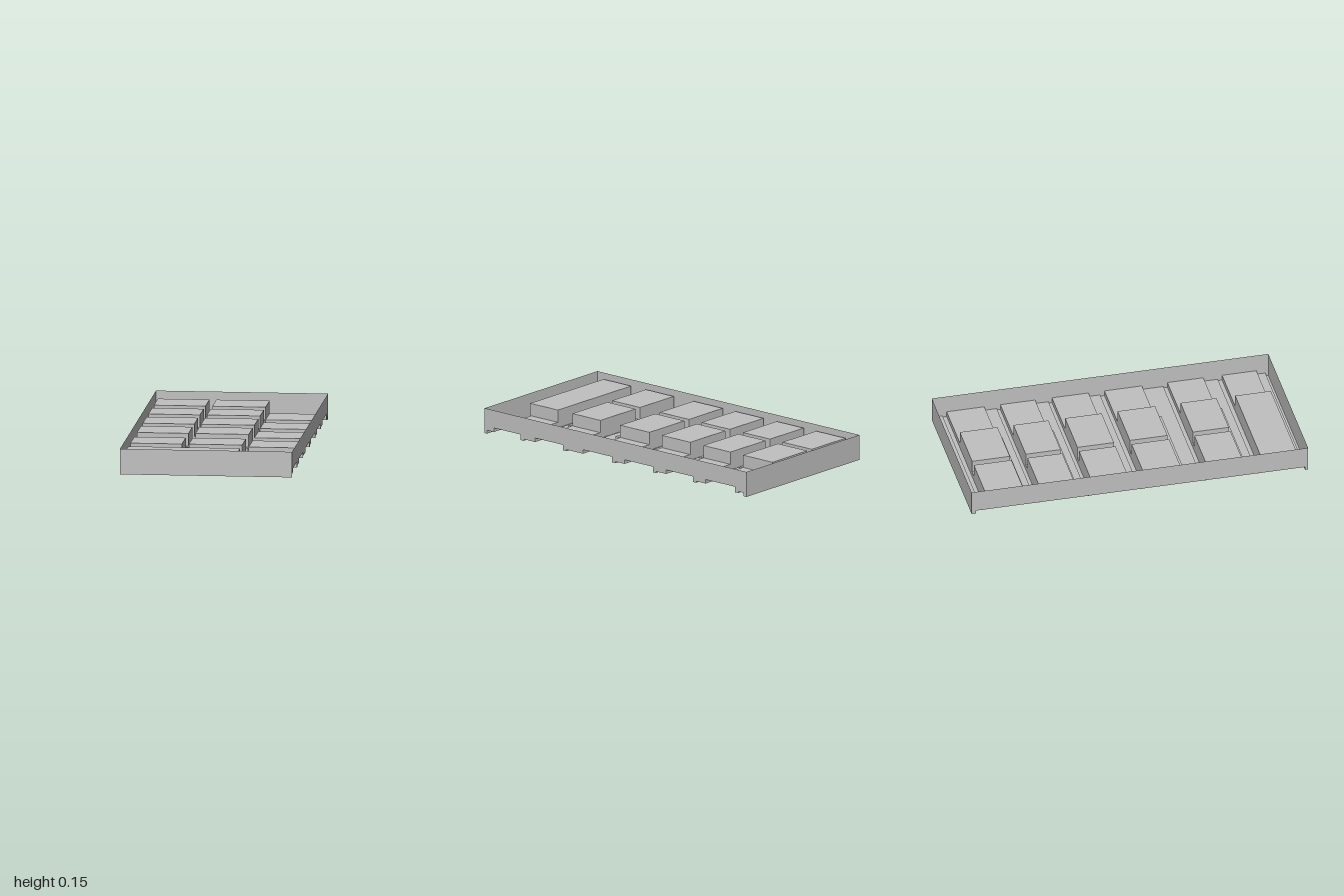
import * as THREE from 'three';

// Pressed thin-sheet tray: every region is a flat level joined by vertical steps.
const RIM = 0.15, FLOOR = 0.02, GROOVE = 0.011, STEP = 0.044, TOP = 0.118;

// Per row: groove start, groove end, channel end, base end
const ROWS = [
  [-0.937, -0.912, -0.688, -0.66],
  [-0.614, -0.593, -0.386, -0.355],
  [-0.307, -0.286, -0.069, -0.069],
  [0, 0.026, 0.249, 0.286],
  [0.376, 0.4, 0.614, 0.646],
  [0.7, 0.725, 0.929, 0.937],
];

// Regions as { part, level, x0, x1, z0, z1 }; later ones override earlier ones
function makeRegions() {
  const regions = [];
  const add = (part, y, x0, x1, z0, z1) => regions.push({ part, y, x0, x1, z0, z1 });
  add('floor', FLOOR, -0.5, 0.5, -1, 1);
  add('backLip', 0, -0.5, 0.5, -1, -0.975);
  add('frontLip', 0, -0.5, 0.5, 0.982, 1);
  ROWS.forEach(([g0, g1, c1, b1], i) => {
    add('groove', GROOVE, -0.488, 0.5, g0, g1);
    add('sideChannel', STEP, 0.17, 0.5, g1, c1);
    add('blockBase', STEP, -0.48, 0.17, g1, b1);
    if (i === ROWS.length - 1) {
      add('wideBlock', TOP, -0.48, 0.17, g1, b1);
    } else {
      add('outerBlock', TOP, -0.48, -0.18, g1, c1);
      add('innerBlock', TOP, -0.14, 0.17, g1, c1);
    }
  });
  return regions;
}

const sortedCuts = (values) => [...new Set(values)].sort((a, b) => a - b);

export function createModel() {
  const group = new THREE.Group();
  group.name = 'tray';
  const grey = new THREE.MeshStandardMaterial({ color: 0xc0c0c0, side: THREE.DoubleSide });
  grey.name = 'light grey';

  const regions = makeRegions();
  const xs = sortedCuts(regions.flatMap((r) => [r.x0, r.x1]));
  const zs = sortedCuts(regions.flatMap((r) => [r.z0, r.z1]));
  const rim = { part: 'outerWall', y: RIM };
  const regionAt = (i, j) => {
    if (i < 0 || j < 0 || i >= xs.length - 1 || j >= zs.length - 1) return rim;
    const x = (xs[i] + xs[i + 1]) / 2, z = (zs[j] + zs[j + 1]) / 2;
    return regions.findLast((r) => x > r.x0 && x < r.x1 && z > r.z0 && z < r.z1);
  };

  // Quads are collected under the name of the part they belong to
  const parts = {};
  const quad = (part, a, b, c, d) => (parts[part] ??= []).push(...a, ...b, ...c, ...a, ...c, ...d);

  // Vertical step between two cells; the higher one owns it and it faces the lower one,
  // except the outer wall, which faces outward
  const step = (p, q, [xa, za], [xb, zb]) => {
    if (p.y === q.y) return;
    const owner = p.y > q.y ? p : q;
    const flip = (owner === p) !== (owner === rim);
    const [x0, z0, x1, z1] = flip ? [xa, za, xb, zb] : [xb, zb, xa, za];
    const lo = Math.min(p.y, q.y);
    quad(owner.part, [x0, lo, z0], [x1, lo, z1], [x1, owner.y, z1], [x0, owner.y, z0]);
  };

  for (let i = 0; i < xs.length; i++) {
    for (let j = 0; j < zs.length; j++) {
      const here = regionAt(i, j);
      const x0 = xs[i], x1 = xs[i + 1], z0 = zs[j], z1 = zs[j + 1];
      if (z1 !== undefined) step(regionAt(i - 1, j), here, [x0, z1], [x0, z0]);
      if (x1 !== undefined) step(regionAt(i, j - 1), here, [x0, z0], [x1, z0]);
      if (here === rim) continue;
      const y = here.y;
      quad(here.part, [x0, y, z0], [x0, y, z1], [x1, y, z1], [x1, y, z0]);
    }
  }

  for (const [name, positions] of Object.entries(parts)) {
    const geometry = new THREE.BufferGeometry();
    geometry.setAttribute('position', new THREE.Float32BufferAttribute(positions, 3));
    geometry.computeVertexNormals();
    const mesh = new THREE.Mesh(geometry, grey);
    mesh.name = name;
    group.add(mesh);
  }
  return group;
}
